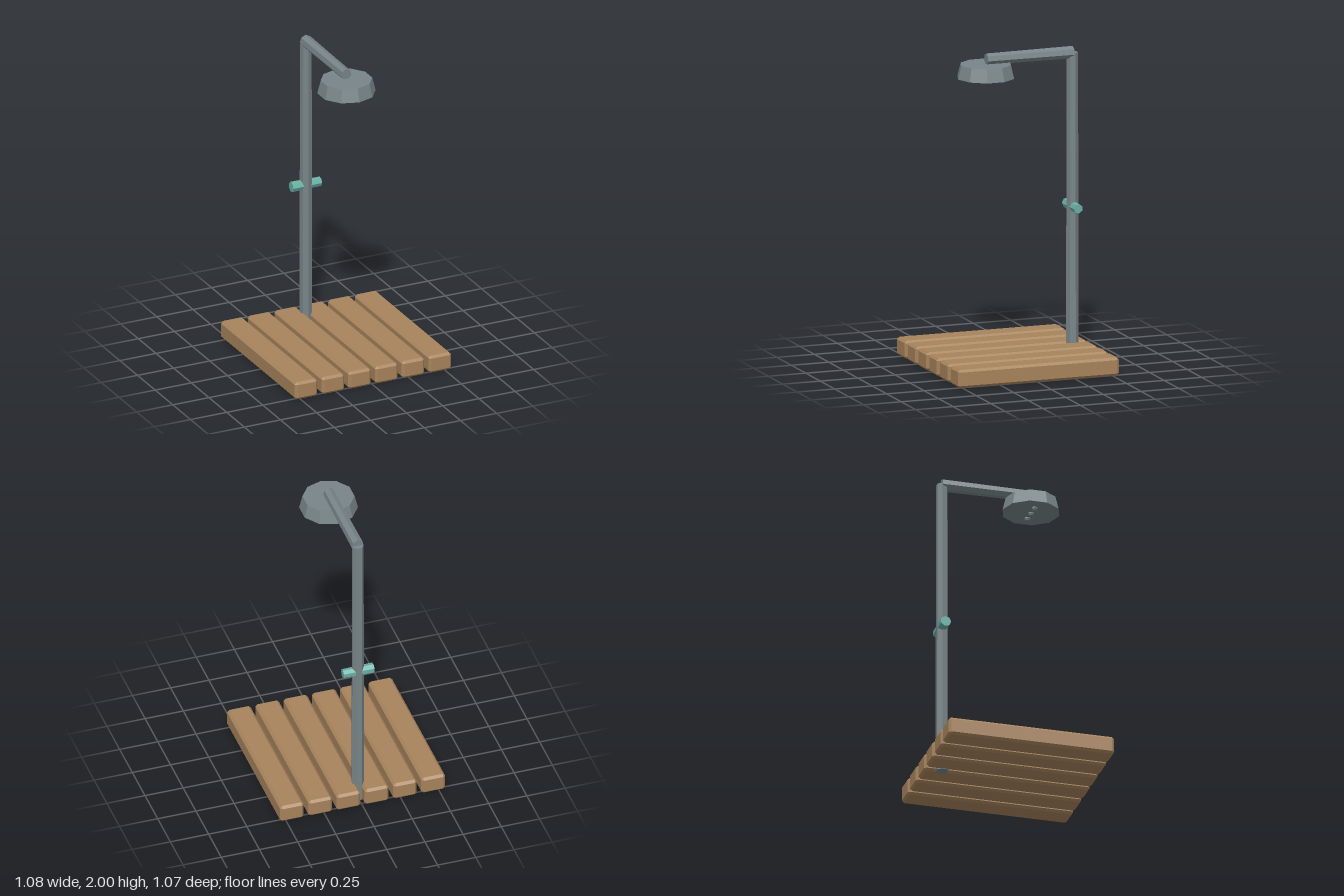
import * as THREE from 'three';
import { ConvexGeometry } from 'three/addons/geometries/ConvexGeometry.js';

// Box with every edge and corner cut flat
function chamferBox(w, h, d, c) {
  const points = [];
  for (const sx of [-1, 1]) for (const sy of [-1, 1]) for (const sz of [-1, 1]) {
    const x = w / 2, y = h / 2, z = d / 2;
    points.push(
      new THREE.Vector3(sx * x, sy * (y - c), sz * (z - c)),
      new THREE.Vector3(sx * (x - c), sy * y, sz * (z - c)),
      new THREE.Vector3(sx * (x - c), sy * (y - c), sz * z)
    );
  }
  return new ConvexGeometry(points);
}

export function createModel() {
  const group = new THREE.Group();
  const material = (name, color) => {
    const m = new THREE.MeshStandardMaterial({ color, flatShading: true });
    m.name = name;
    return m;
  };
  const metal = material('grey metal', 0x788588);
  const wood = material('wood', 0xa8845c);
  const teal = material('teal', 0x68b0a4);

  const add = (name, geometry, mat, x, y, z) => {
    const mesh = new THREE.Mesh(geometry, mat);
    mesh.name = name;
    mesh.position.set(x, y, z);
    group.add(mesh);
    return mesh;
  };

  // Slatted floor
  const plank = chamferBox(0.156, 0.116, 1.07, 0.015);
  for (let i = 0; i < 6; i++) add('floorPlank', plank, wood, (i - 2.5) * 0.185, 0.062, 0);

  // Upright pipe and overhead arm, both seven-sided and slightly tapered
  add('pole', new THREE.CylinderGeometry(0.037, 0.041, 1.96, 7), metal, 0, 0.98, -0.427);
  const arm = add('arm', new THREE.CylinderGeometry(0.04, 0.036, 0.575, 7), metal, 0, 1.96, -0.142);
  arm.rotation.x = -Math.PI / 2;

  // Tap handle through the pole
  const handle = add('tapHandle', new THREE.CylinderGeometry(0.034, 0.03, 0.2, 7), teal, 0, 0.984, -0.43);
  handle.rotation.z = Math.PI / 2;

  // Shower head with three nozzles below
  add('showerHead', new THREE.CylinderGeometry(0.162, 0.183, 0.086, 10), metal, 0, 1.887, 0.148);
  for (const x of [-0.08, 0, 0.08]) {
    add('nozzle', new THREE.SphereGeometry(0.02, 6, 4), metal, x, 1.839, 0.148);
  }
  return group;
}
